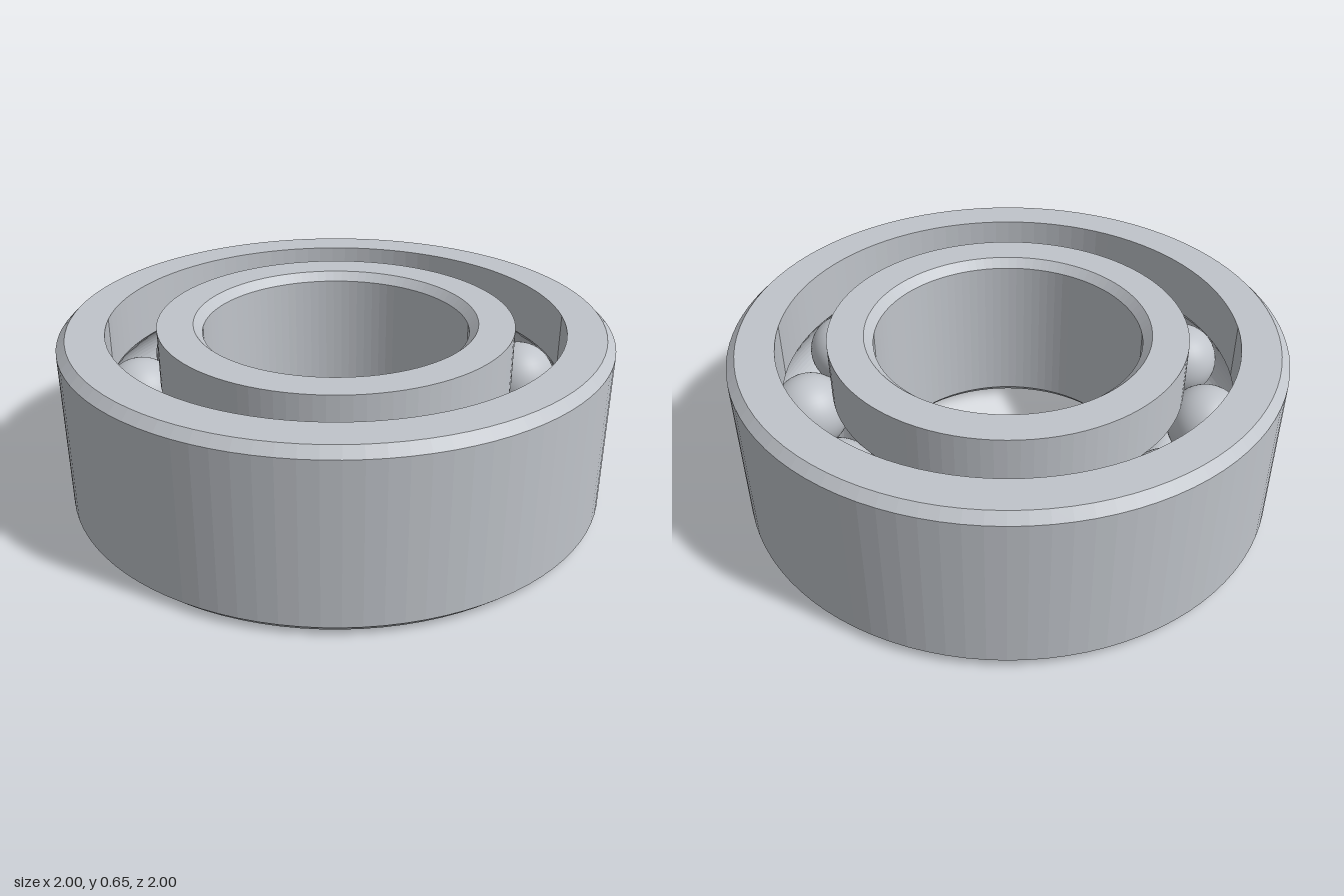
import * as THREE from 'three';

const HEIGHT = 0.65, MID = HEIGHT / 2;
const PITCH = 0.74;      // radius of the circle of ball centres
const BALL = 0.142;
const GROOVE = 0.145;
const CHAMFER = 0.032;
const BALLS = 11;
const SEGMENTS = 96;

// Arc of the ball groove in (radius, y), between two angles
function grooveArc(from, to, steps = 16) {
  return Array.from({ length: steps + 1 }, (_, i) => {
    const a = from + (to - from) * i / steps;
    return [PITCH + GROOVE * Math.cos(a), MID + GROOVE * Math.sin(a)];
  });
}

// Closed ring turned from a counter-clockwise (radius, y) profile
function ring(name, profile, material) {
  const points = [...profile, profile[0]].map(([r, y]) => new THREE.Vector2(r, y));
  const geometry = new THREE.LatheGeometry(points, SEGMENTS).toNonIndexed();
  geometry.computeVertexNormals();
  const mesh = new THREE.Mesh(geometry, material);
  mesh.name = name;
  return mesh;
}

export function createModel() {
  const model = new THREE.Group();
  model.name = 'ballBearing';
  const steel = new THREE.MeshStandardMaterial({ color: 0xc0c4ca });
  steel.name = 'steel';

  // Outer ring: chamfered outside, grooved inside
  const outerBore = 0.83;
  const a = Math.acos((outerBore - PITCH) / GROOVE);
  model.add(ring('outerRing', [
    [outerBore, 0], [1 - CHAMFER, 0], [1, CHAMFER],
    [1, HEIGHT - CHAMFER], [1 - CHAMFER, HEIGHT], [outerBore, HEIGHT],
    ...grooveArc(a, -a),
  ], steel));

  // Inner ring: grooved outside, chamfered bore
  const innerRim = 0.65, bore = 0.487;
  const b = Math.acos((PITCH - innerRim) / GROOVE);
  model.add(ring('innerRing', [
    [bore + CHAMFER, 0], [innerRim, 0],
    ...grooveArc(Math.PI + b, Math.PI - b),
    [innerRim, HEIGHT], [bore + CHAMFER, HEIGHT],
    [bore, HEIGHT - CHAMFER], [bore, CHAMFER],
  ], steel));

  // Balls spaced evenly between the rings
  const balls = new THREE.Group();
  balls.name = 'balls';
  const ballGeometry = new THREE.SphereGeometry(BALL, 40, 24);
  for (let i = 0; i < BALLS; i++) {
    const angle = i / BALLS * Math.PI * 2;
    const ball = new THREE.Mesh(ballGeometry, steel);
    ball.name = 'ball';
    ball.position.set(PITCH * Math.cos(angle), MID, PITCH * Math.sin(angle));
    balls.add(ball);
  }
  model.add(balls);

  return model;
}
